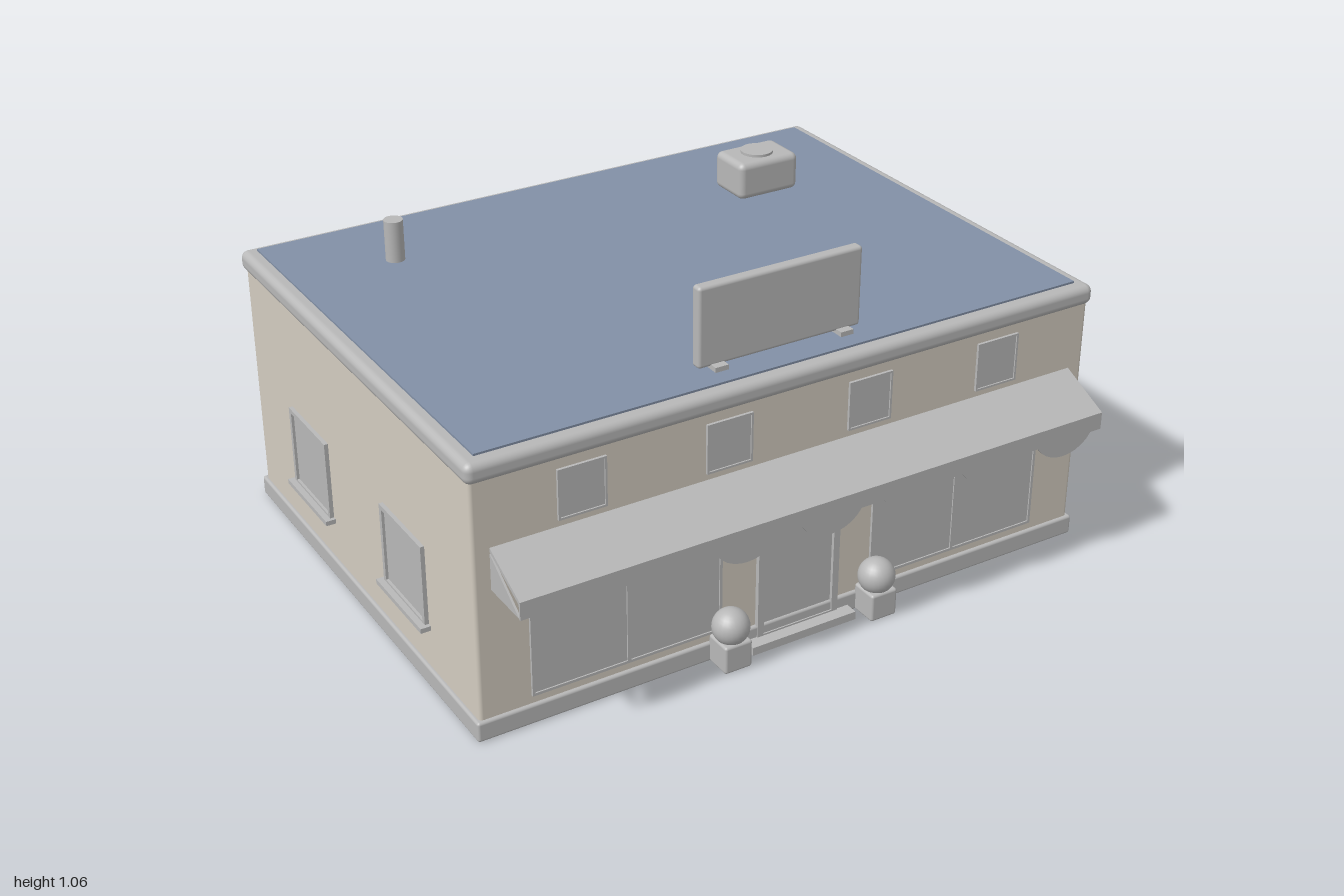
import * as THREE from 'three';
import { RoundedBoxGeometry } from 'three/addons/geometries/RoundedBoxGeometry.js';

export function createModel() {
  const model = new THREE.Group();
  model.name = 'shop';
  const mat = (name, color, side = THREE.FrontSide) => {
    const m = new THREE.MeshStandardMaterial({ color, side });
    m.name = name;
    return m;
  };
  const wall = mat('wall plaster', 0xd3ccc0);
  const grey = mat('grey trim', 0xb8b8b8, THREE.DoubleSide);
  const roof = mat('roof blue', 0x8290a6);

  const add = (name, geo, material, x, y, z, parent = model) => {
    const mesh = new THREE.Mesh(geo, material);
    mesh.name = name;
    mesh.position.set(x, y, z);
    parent.add(mesh);
    return mesh;
  };
  // box given by its min and max on each axis, rounded when r > 0
  const box = (name, material, [x0, x1], [y0, y1], [z0, z1], r = 0, parent = model) => {
    const s = [x1 - x0, y1 - y0, z1 - z0];
    const geo = r ? new RoundedBoxGeometry(...s, 3, r) : new THREE.BoxGeometry(...s);
    return add(name, geo, material, (x0 + x1) / 2, (y0 + y1) / 2, (z0 + z1) / 2, parent);
  };
  const rect = (path, w, h) => {
    path.moveTo(-w / 2, 0);
    path.lineTo(w / 2, 0);
    path.lineTo(w / 2, h);
    path.lineTo(-w / 2, h);
    path.closePath();
    return path;
  };

  // Building shell
  box('walls', wall, [-0.97, 0.97], [0.01, 0.79], [-0.785, 0.655], 0.012);
  box('plinth', grey, [-0.98, 0.98], [0, 0.06], [-0.797, 0.665], 0.008);
  box('cornice', grey, [-0.98, 0.98], [0.755, 0.815], [-0.803, 0.667], 0.022);
  box('roof', roof, [-0.938, 0.938], [0.8, 0.821], [-0.767, 0.627]);

  // Framed opening: bottom centre at the origin, facing +z
  function opening(name, w, h, { border = 0.014, depth = 0.012, sill = 0, mullion = false } = {}) {
    const g = new THREE.Group();
    g.name = name;
    const frame = rect(new THREE.Shape(), w, h);
    const hole = rect(new THREE.Path(), w - 2 * border, h - 2 * border);
    hole.curves.forEach((c) => { c.v1.y += border; c.v2.y += border; });
    frame.holes.push(hole);
    add('frame', new THREE.ExtrudeGeometry(frame, { depth, bevelEnabled: false }), grey, 0, 0, 0, g);
    add('pane', new THREE.BoxGeometry(w - 0.01, h - 0.01, 0.004), grey, 0, h / 2, 0.002, g);
    if (mullion) box('mullion', grey, [-0.005, 0.005], [0.005, h - 0.005], [0, depth], 0, g);
    if (sill) box('sill', grey, [-w / 2 - 0.012, w / 2 + 0.012], [-0.006, 0.008], [0, sill], 0, g);
    model.add(g);
    return g;
  }

  // Front openings
  for (const x of [-0.66, -0.225, 0.22, 0.65])
    opening('upper window', 0.14, 0.145, { border: 0.006, depth: 0.008 }).position.set(x, 0.585, 0.655);
  for (const s of [-1, 1])
    opening('shop window', 0.575, 0.365, { border: 0.008, depth: 0.008, mullion: true })
      .position.set(s * 0.532, 0.085, 0.655);
  opening('front door', 0.265, 0.445, { border: 0.02, depth: 0.014 }).position.set(0, 0.01, 0.655);
  box('front step', grey, [-0.17, 0.17], [0, 0.025], [0.65, 0.705]);

  // Side windows
  for (const s of [-1, 1]) {
    for (const z of [0.246, -0.376]) {
      const w = opening('side window', 0.256, 0.247, { sill: 0.03 });
      w.position.set(s * 0.97, 0.187, z);
      w.rotation.y = s * Math.PI / 2;
    }
  }

  // Back wall
  for (const x of [-0.592, -0.103]) {
    const w = opening('back window', 0.222, 0.212, { sill: 0.027 });
    w.position.set(x, 0.22, -0.783);
    w.rotation.y = Math.PI;
  }
  const backDoor = opening('back door', 0.22, 0.4, { border: 0.016, depth: 0.016 });
  backDoor.position.set(0.41, 0.02, -0.785);
  backDoor.rotation.y = Math.PI;
  box('wall vent', grey, [0.61, 0.81], [0.24, 0.335], [-0.798, -0.775], 0.005);

  // Awning: sloped sheet, triangular cheeks and scalloped valance
  const half = 0.92;
  const sheet = new THREE.Shape([[0.65, 0.567], [0.81, 0.492], [0.81, 0.48], [0.65, 0.555]]
    .map(([z, y]) => new THREE.Vector2(-z, y)));
  add('awning sheet', new THREE.ExtrudeGeometry(sheet, { depth: 2 * half, bevelEnabled: false }),
    grey, -half, 0, 0).rotation.y = Math.PI / 2;
  const cheek = new THREE.Shape([[0.65, 0.55], [0.805, 0.442], [0.65, 0.442]]
    .map(([z, y]) => new THREE.Vector2(-z, y)));
  for (const s of [-1, 1])
    add('awning cheek', new THREE.ExtrudeGeometry(cheek, { depth: 0.006, bevelEnabled: false }),
      grey, s * (half - 0.003) - 0.003, 0, 0).rotation.y = Math.PI / 2;

  const valance = new THREE.Shape();
  const count = 7, step = 2 * half / count;
  valance.moveTo(half, 0.492);
  valance.lineTo(-half, 0.492);
  valance.lineTo(-half, 0.44);
  for (let i = 0; i < count; i++) {
    const x = -half + i * step;
    valance.lineTo(x + step * 0.14, 0.44);
    valance.bezierCurveTo(x + step * 0.3, 0.374, x + step * 0.7, 0.374, x + step * 0.86, 0.44);
    valance.lineTo(x + step, 0.44);
  }
  valance.closePath();
  add('awning valance', new THREE.ExtrudeGeometry(valance, { depth: 0.006, bevelEnabled: false, curveSegments: 10 }),
    grey, 0, 0, 0.804);

  // Planters beside the door
  for (const s of [-1, 1]) {
    box('planter', grey, [s * 0.24 - 0.043, s * 0.24 + 0.043], [0, 0.085], [0.657, 0.743], 0.008);
    add('round shrub', new THREE.SphereGeometry(0.053, 24, 16), grey, s * 0.24, 0.12, 0.7);
  }

  // Roof board on two feet
  box('roof board', grey, [-0.255, 0.255], [0.828, 1.06], [0.517, 0.552], 0.01);
  for (const s of [-1, 1])
    box('board foot', grey, [s * 0.197 - 0.02, s * 0.197 + 0.02], [0.815, 0.835], [0.495, 0.575]);

  // Roof equipment
  box('cooling unit', grey, [0.45, 0.66], [0.818, 0.935], [-0.487, -0.338], 0.02);
  add('fan cap', new THREE.CylinderGeometry(0.05, 0.05, 0.02, 32), grey, 0.555, 0.933, -0.413);
  add('vent pipe', new THREE.CylinderGeometry(0.028, 0.028, 0.13, 24), grey, -0.625, 0.88, -0.495);

  return model;
}
